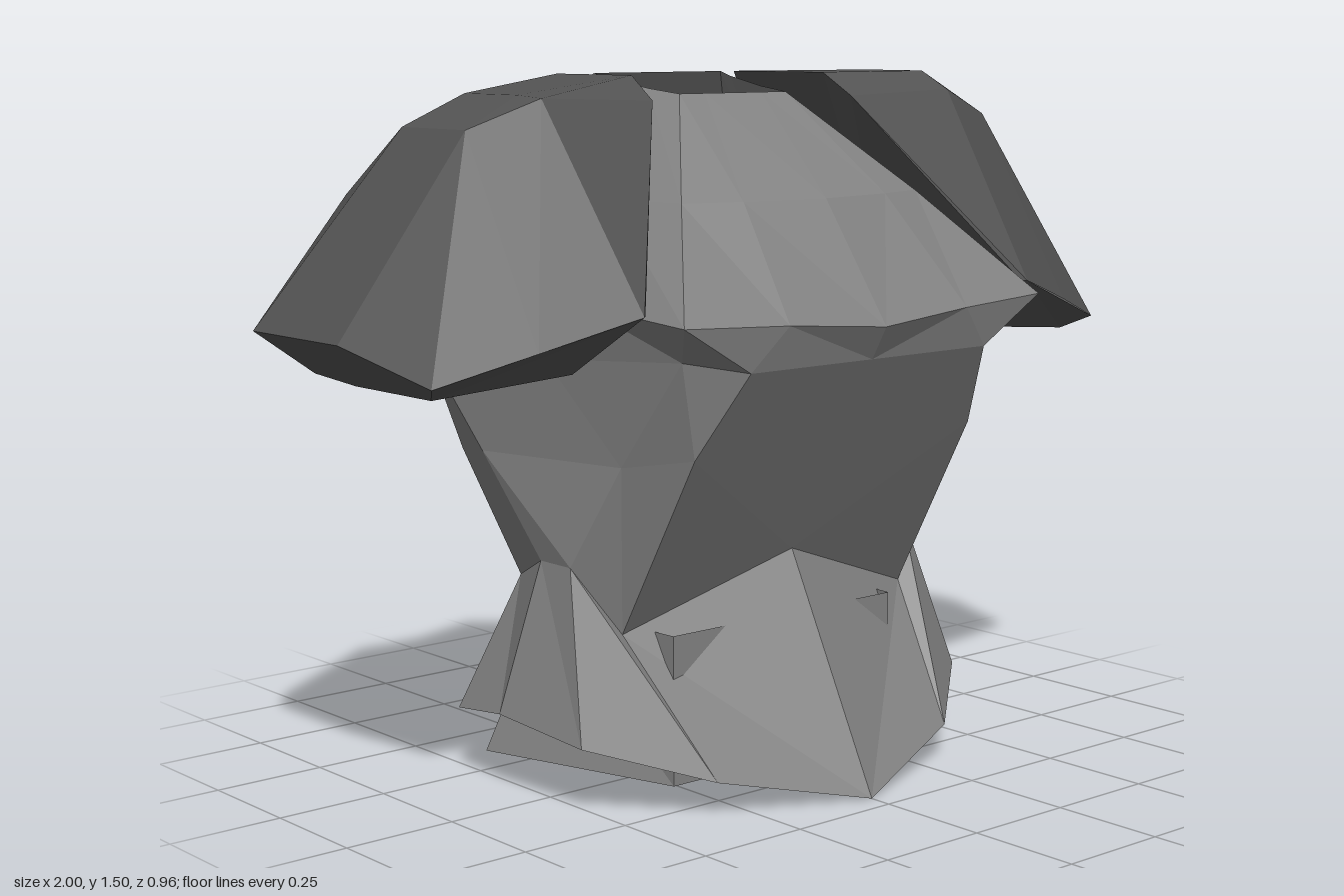
import * as THREE from 'three';

// Thin open shells, so both sides show
const paint = (color) =>
  new THREE.MeshStandardMaterial({ color, flatShading: true, side: THREE.DoubleSide });

// Skin a list of cross-sections (arrays of [x, y, z]) with flat facets
function loft(rows, { closed = false, flip = false } = {}) {
  const n = rows[0].length, index = [];
  for (let i = 0; i < rows.length - 1; i++) {
    for (let j = 0; j < (closed ? n : n - 1); j++) {
      const k = (j + 1) % n;
      const a = i * n + j, b = i * n + k, c = b + n, d = a + n;
      if (flip) index.push(a, d, b, b, d, c);
      // mirror the diagonals about the centre of closed rings
      else if (!closed || j >= n / 2) index.push(a, b, d, b, c, d);
      else index.push(a, b, c, a, c, d);
    }
  }
  const geo = new THREE.BufferGeometry();
  geo.setAttribute('position', new THREE.Float32BufferAttribute(rows.flat(2), 3));
  geo.setIndex(index);
  const flat = geo.toNonIndexed();
  flat.computeVertexNormals();
  return flat;
}

// Complete a half ring (front centre -> left side -> back centre) by mirroring
const ring = (half) =>
  [...half, ...half.slice(1, -1).reverse().map(([x, y, z]) => [-x, y, z])];

function add(parent, name, geo, mat) {
  const mesh = new THREE.Mesh(geo, mat);
  mesh.name = name;
  parent.add(mesh);
}

// Shoulder guard sections from the neck outward and under the rim, each running
// from front to back; the last one closes the guard against the chest
function guardSections(ridgeX, ridgeY, tipX) {
  const neckEdge = [[.53, 1.05, .36], [.28, 1.45, .08], [.27, 1.5, 0],
    [tipX, 1.5, -.24], [.38, 1.46, -.37], [.44, 1.05, -.42]];
  return [
    neckEdge,
    [[.54, 1.05, .37], [.57, 1.46, .09], [.57, ridgeY, .01], [.57, ridgeY, -.17],
      [.5, 1.25, -.45], [.5, .97, -.45]],
    [[.74, .99, .3], [ridgeX, 1.4, .03], [ridgeX, 1.4, -.06], [ridgeX, 1.4, -.19],
      [.68, 1.25, -.45], [.7, .98, -.45]],
    [[.93, .93, .22], [1, 1, .01], [1, 1, -.12], [1, 1, -.3],
      [.93, 1, -.38], [.89, .97, -.41]],
    [[.93, .93, .22], [.89, .9, .16], [.89, .9, -.1], [.89, .91, -.25],
      [.85, .91, -.33], [.8, .91, -.4]],
    [[.54, 1.05, .37], [.6, .93, .22], [.6, .93, -.1], [.6, .93, -.25],
      [.58, .93, -.35], [.52, .94, -.42]],
    neckEdge,
  ];
}

export function createModel() {
  const model = new THREE.Group();
  model.name = 'torsoArmor';
  const bodyGrey = paint(0x828282), guardGrey = paint(0x535353);

  const waist = [[0, .5, .2], [.4, .36, .12], [.48, .5, .05], [.48, .5, -.05],
    [.4, .43, -.23], [.2, .43, -.285], [0, .43, -.34]];

  // Flared skirt with pointed front and back
  const hem = [[0, .005, .45], [.33, .08, .34], [.54, .15, .16], [.57, .18, -.08],
    [.54, .15, -.27], [.33, .11, -.38], [0, .005, -.48]];
  add(model, 'skirt', loft([hem, waist].map(ring), { closed: true }), bodyGrey);

  // Chest shell, from waist through the chest ridge to the open collar
  const chest = [
    waist,
    [[0, .75, .34], [.39, .75, .34], [.44, .72, .17], [.525, .72, -.19],
      [.47, .7, -.34], [.23, .74, -.35], [0, .78, -.36]],
    [[0, .93, .44], [.33, .93, .44], [.43, .95, .35], [.5, .93, 0],
      [.57, .92, -.32], [.28, .97, -.4], [0, .97, -.4]],
    [[0, 1, .48], [.25, 1.02, .465], [.5, 1.03, .44], [.5, 1.05, .12],
      [.42, 1.08, -.41], [.3, 1.21, -.45], [0, 1.22, -.45]],
    [[0, 1.25, .3], [.2, 1.25, .27], [.33, 1.25, .23], [.36, 1.25, .04],
      [.39, 1.28, -.33], [.3, 1.37, -.36], [0, 1.37, -.37]],
    [[0, 1.46, .01], [.08, 1.46, .01], [.15, 1.46, .01], [.16, 1.47, -.08],
      [.175, 1.49, -.2], [.18, 1.5, -.24], [0, 1.5, -.24]],
  ];
  add(model, 'chestShell', loft(chest.map(ring), { closed: true }), bodyGrey);

  // Open pelvis sleeve under the skirt, wider at the back and tapering upward
  const pelvis = (y, backX, backZ) => [[-.33, y, .2], [.29, y, .2],
    [backX - .02, y, backZ], [-backX - .02, y, backZ]];
  add(model, 'pelvis',
    loft([pelvis(.04, .45, -.27), pelvis(.36, .34, -.2)], { closed: true }), bodyGrey);

  // Shoulder guards: the right one has a slightly lower, narrower crown
  const left = guardSections(.75, 1.5, .22);
  const right = guardSections(.71, 1.465, .28)
    .map((row) => row.map(([x, y, z]) => [-x, y, z]));
  add(model, 'leftShoulderGuard', loft(left, { flip: true }), guardGrey);
  add(model, 'rightShoulderGuard', loft(right), guardGrey);
  return model;
}
